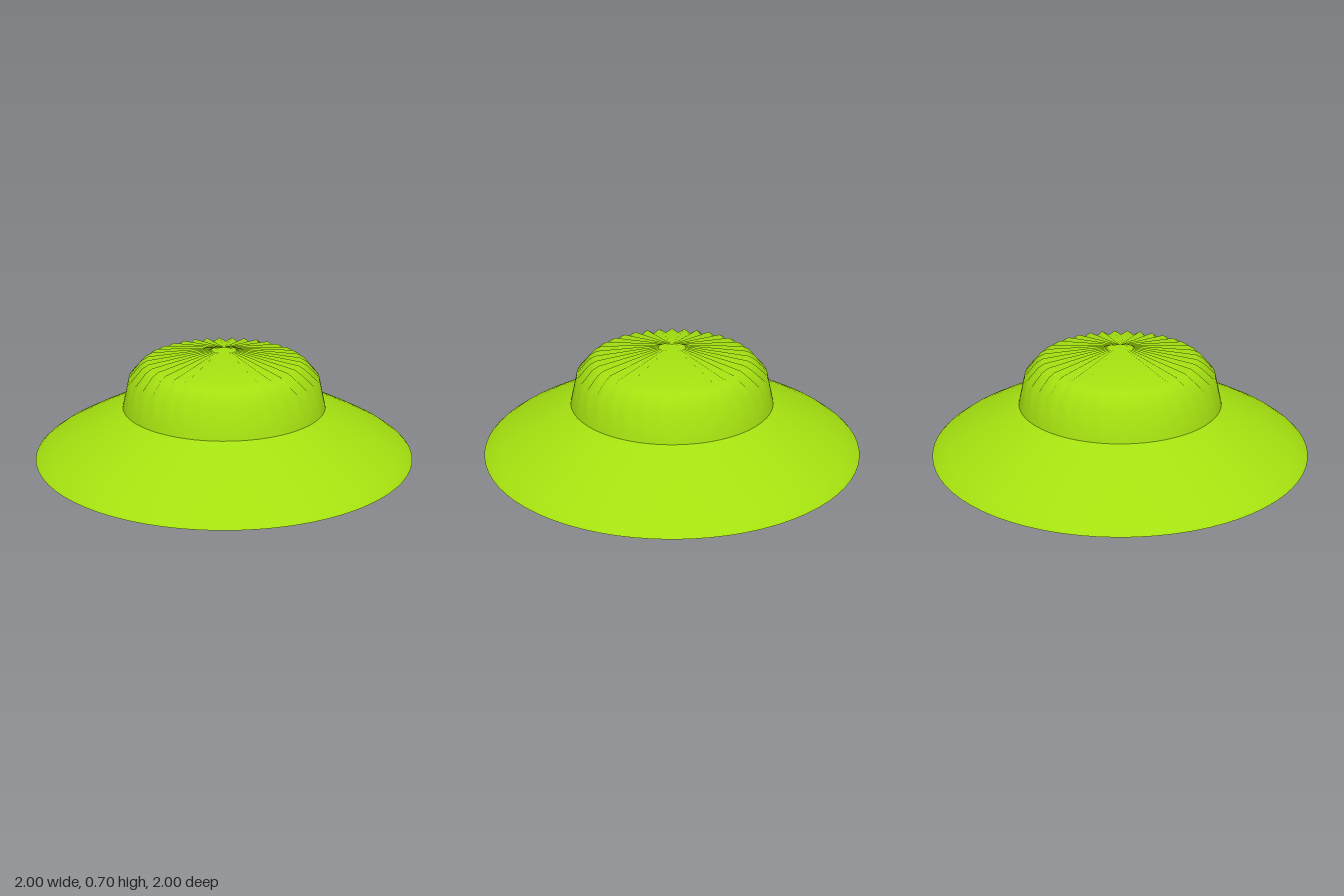
import * as THREE from 'three';
import { mergeVertices } from 'three/addons/utils/BufferGeometryUtils.js';

const PLEATS = 36;
const SEGMENTS = PLEATS * 2;

function lathe(profile) {
  return new THREE.LatheGeometry(profile.map(([r, y]) => new THREE.Vector2(r, y)), SEGMENTS);
}

function part(name, geometry, material) {
  const mesh = new THREE.Mesh(geometry, material);
  mesh.name = name;
  return mesh;
}

// Crown of the shade: smooth wall, with every second vertex of the upper rings drawn in as a pleat
function pleatedCrown() {
  const profile = [[0.535, 0.385], [0.5, 0.54], [0.435, 0.615], [0.4, 0.635], [0, 0.7]];
  const rings = profile.length;
  const geometry = lathe(profile);
  const pos = geometry.attributes.position;
  for (let i = 0; i < pos.count; i++) {
    const ring = i % rings;
    const column = Math.floor(i / rings);
    if (column % 2 === 1 && (ring === 2 || ring === 3)) {
      pos.setXYZ(i, pos.getX(i) * 0.965, pos.getY(i) - 0.018, pos.getZ(i) * 0.965);
    }
  }
  // Weld the seam so the normals stay smooth all round
  geometry.deleteAttribute('uv');
  geometry.deleteAttribute('normal');
  const welded = mergeVertices(geometry);
  welded.computeVertexNormals();
  return welded;
}

export function createModel() {
  const green = new THREE.MeshStandardMaterial({ color: 0xa4e010 });
  green.name = 'lime enamel';
  const white = new THREE.MeshStandardMaterial({ color: 0xe2e2e2 });
  white.name = 'soft white';

  const lamp = new THREE.Group();
  lamp.name = 'pendantLamp';

  // Wide sloping brim with a bevelled edge
  const brim = [[1, 0.13], [0.985, 0.145], [0.93, 0.185], [0.8, 0.257], [0.62, 0.348], [0.535, 0.385]];
  lamp.add(part('shadeBrim', lathe(brim), green));
  lamp.add(part('shadeCrown', pleatedCrown(), green));

  // White lining: a shallow cone under the shade, and the flat lip at its edge
  lamp.add(part('shadeLining', lathe([[0, 0.525], [0.12, 0.5], [0.53, 0.335], [0.8, 0.215], [0.975, 0.13]]), white));
  lamp.add(part('shadeLip', lathe([[0.975, 0.13], [1, 0.13]]), white));

  // Round bulb with a short neck reaching up into the lining
  const bulb = [];
  const radius = 0.24;
  for (let i = 0; i <= 20; i++) {
    const a = (i / 20) * 2.63;
    bulb.push([radius * Math.sin(a), radius - radius * Math.cos(a)]);
  }
  bulb.push([0.115, 0.47], [0.115, 0.51]);
  lamp.add(part('bulb', lathe(bulb), white));

  return lamp;
}
